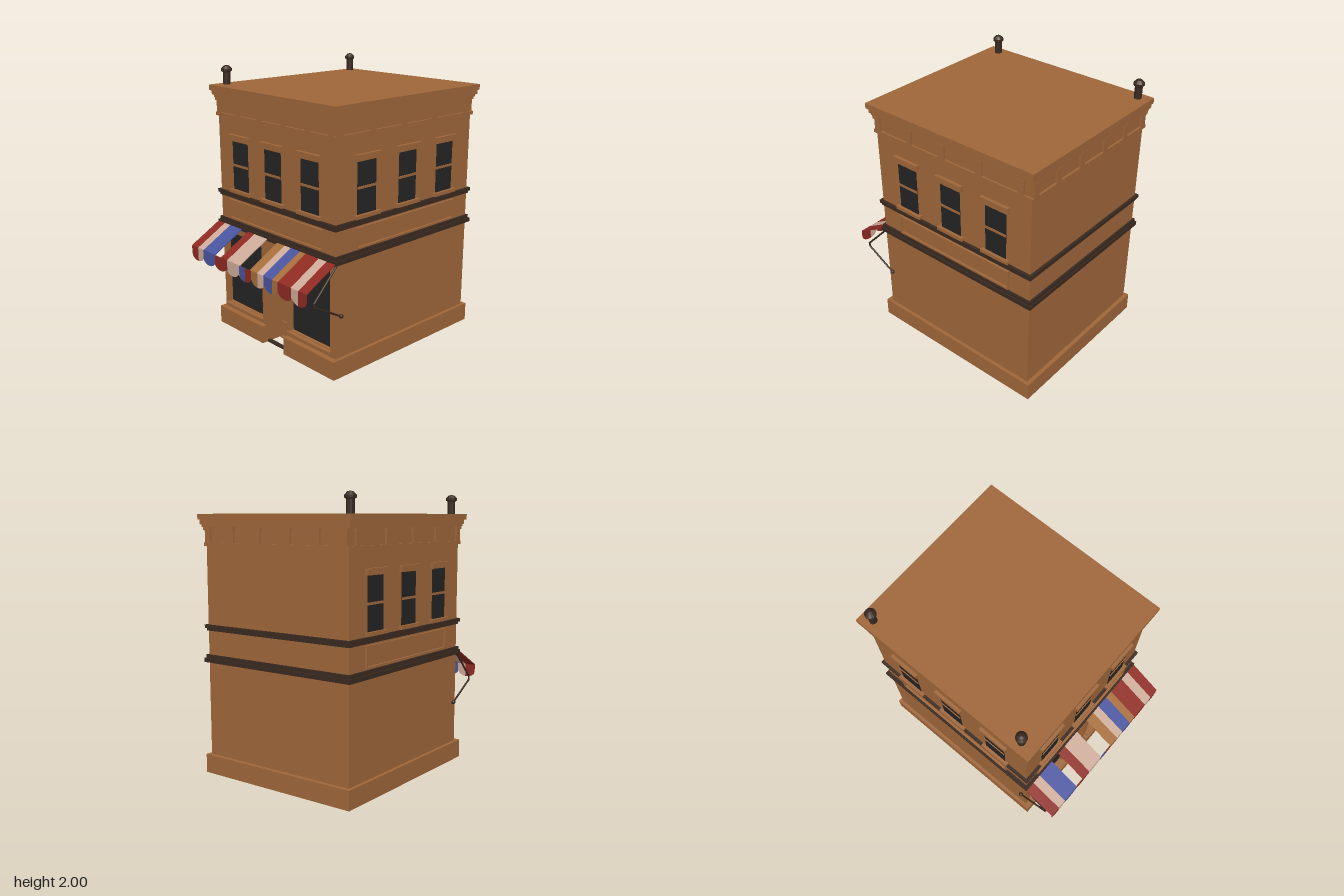
import * as THREE from 'three';

const mat = (name, color, side = THREE.FrontSide) => {
  const m = new THREE.MeshStandardMaterial({ color, side });
  m.name = name;
  return m;
};

export function createModel() {
  const brick = mat('brick brown', 0xa0673a);
  const trim = mat('dark trim', 0x3a2a20);
  const glass = mat('dark glass', 0x242424);
  const red = mat('awning red', 0x8f2a22, THREE.DoubleSide);
  const cream = mat('awning cream', 0xcdab99, THREE.DoubleSide);
  const blue = mat('awning blue', 0x4a54a0, THREE.DoubleSide);
  const ochre = mat('awning ochre', 0xa66d3a, THREE.DoubleSide);

  const model = new THREE.Group();
  model.name = 'cornerShop';

  const add = (name, geometry, material, parent = model) => {
    const mesh = new THREE.Mesh(geometry, material);
    mesh.name = name;
    parent.add(mesh);
    return mesh;
  };
  const box = (name, material, [x0, x1], [y0, y1], [z0, z1], parent = model) => {
    const mesh = add(name, new THREE.BoxGeometry(x1 - x0, y1 - y0, z1 - z0), material, parent);
    mesh.position.set((x0 + x1) / 2, (y0 + y1) / 2, (z0 + z1) / 2);
    return mesh;
  };
  const poly = pts => new THREE.Shape(pts.map(p => new THREE.Vector2(...p)));
  const rect = (x0, x1, y0, y1) => poly([[x0, y0], [x1, y0], [x1, y1], [x0, y1]]);
  const extrude = (shape, depth) => new THREE.ExtrudeGeometry(shape, { depth, bevelEnabled: false });

  // Wall block and its footprint
  const W = 0.62, BACK = -0.8, FRONT = 0.56, INNER = 0.42;
  const ring = (name, material, y0, y1, e) =>
    box(name, material, [-W - e, W + e], [y0, y1], [BACK - e, FRONT + e]);
  box('walls', brick, [-W, W], [0.01, 1.82], [BACK, INNER]);

  // Front wall with the doorway cut out and openings for the shop windows
  const front = poly([[-W, 0.01], [-0.115, 0.01], [-0.115, 0.76], [0.115, 0.76],
    [0.115, 0.01], [W, 0.01], [W, 1.82], [-W, 1.82]]);
  for (const s of [-1, 1]) front.holes.push(rect(s * 0.363 - 0.203, s * 0.363 + 0.203, 0.19, 0.76));
  add('frontWall', extrude(front, FRONT - INNER), brick).position.z = INNER;

  // Plinth around the building, notched at the doorway
  const plinth = add('plinth', extrude(poly([[-0.645, -0.6], [-0.12, -0.6], [-0.12, -INNER],
    [0.12, -INNER], [0.12, -0.6], [0.645, -0.6], [0.645, 0.83], [-0.645, 0.83]]), 0.135), brick);
  plinth.rotation.x = -Math.PI / 2;

  // Shop windows with sills
  for (const s of [-1, 1]) {
    const c = s * 0.363;
    box('shopWindow', glass, [c - 0.205, c + 0.205], [0.185, 0.765], [0.528, 0.535]);
    box('shopWindowSill', brick, [c - 0.22, c + 0.22], [0.16, 0.185], [0.53, 0.59]);
  }

  // Rectangular raised frame, centred on the local z face
  const frame = (name, material, w, y0, y1, t, depth, parent) => {
    const shape = rect(-w, w, y0, y1);
    shape.holes.push(rect(-w + t, w - t, y0 + t, y1 - t));
    return add(name, extrude(shape, depth), material, parent);
  };

  // Recessed door
  const door = new THREE.Group();
  door.name = 'door';
  door.position.z = INNER;
  model.add(door);
  frame('doorFrame', brick, 0.112, 0.0, 0.52, 0.012, 0.02, door);
  box('doorRail', brick, [-0.1, 0.1], [0.12, 0.135], [0, 0.012], door);
  box('threshold', trim, [-0.118, 0.118], [0, 0.018], [0.11, 0.135], door);

  // A wall-facing group: local +z points out of the wall
  const onWall = (name, x, z, angle) => {
    const g = new THREE.Group();
    g.name = name;
    g.position.set(x, 0, z);
    g.rotation.y = angle;
    model.add(g);
    return g;
  };
  const sashWindow = (x, z, angle) => {
    const g = onWall('sashWindow', x, z, angle);
    box('pane', glass, [-0.087, 0.087], [1.115, 1.475], [-0.002, 0.004], g);
    box('middleRail', brick, [-0.087, 0.087], [1.288, 1.305], [0, 0.009], g);
    box('lintel', brick, [-0.115, 0.115], [1.478, 1.522], [-0.01, 0.024], g);
    box('sill', brick, [-0.115, 0.115], [1.09, 1.115], [-0.01, 0.026], g);
  };
  const signBoard = (x, z, angle, w) => {
    const g = onWall('signBoard', x, z, angle);
    frame('signFrame', brick, w, 0.88, 1.03, 0.012, 0.016, g);
  };
  for (const x of [-0.37, -0.005, 0.375]) sashWindow(x, FRONT, 0);
  signBoard(0, FRONT, 0, 0.51);
  for (const s of [-1, 1]) {
    for (const z of [0.28, -0.12, -0.515]) sashWindow(s * W, z, s * Math.PI / 2);
    signBoard(s * W, -0.125, s * Math.PI / 2, 0.505);
  }

  // String courses above and below the sign boards
  ring('upperCourseLip', trim, 1.042, 1.06, 0.01);
  ring('upperCourse', trim, 1.06, 1.085, 0.02);
  ring('lowerCourse', trim, 0.815, 0.845, 0.025);
  ring('lowerCourseLip', trim, 0.845, 0.87, 0.015);

  // Cornice, brackets and roof slab
  ring('friezeBand', brick, 1.64, 1.665, 0.014);
  ring('corniceStep', brick, 1.772, 1.79, 0.022);
  ring('cornice', brick, 1.79, 1.822, 0.032);
  box('roof', brick, [-0.665, 0.665], [1.822, 1.862], [-0.84, 0.605]);
  const bracket = (x, z, angle) => {
    const g = onWall('bracket', x, z, angle);
    box('bracketBlock', brick, [-0.024, 0.024], [1.665, 1.775], [-0.01, 0.016], g);
    box('bracketHead', brick, [-0.032, 0.032], [1.752, 1.775], [-0.01, 0.024], g);
  };
  for (const x of [-0.595, -0.375, -0.135, 0.125, 0.37, 0.595]) {
    bracket(x, FRONT, 0);
    bracket(x, BACK, Math.PI);
  }
  for (const s of [-1, 1])
    for (const z of [0.535, 0.235, -0.065, -0.385, -0.72]) bracket(s * W, z, s * Math.PI / 2);

  // Chimney pipes
  const pipe = [[0, 1.86], [0.027, 1.86], [0.027, 1.95], [0.039, 1.958], [0.039, 1.975], [0.02, 1.995], [0, 2]];
  for (const z of [-0.752, 0.495]) {
    const g = new THREE.LatheGeometry(pipe.map(p => new THREE.Vector2(...p)), 12).toNonIndexed();
    g.computeVertexNormals();
    add('chimneyPipe', g, trim).position.set(-0.595, 0, z);
  }

  // Awning canopy: each stripe is [material, left edge, right edge], with two open bays
  const canopy = [[red, -0.645, -0.565], [cream, -0.565, -0.495], [blue, -0.495, -0.355],
    [red, -0.28, -0.205], [cream, -0.205, -0.06], [ochre, 0.055, 0.135], [cream, 0.135, 0.2],
    [blue, 0.2, 0.295], [ochre, 0.295, 0.355], [red, 0.355, 0.485], [cream, 0.485, 0.56], [red, 0.56, 0.64]];
  const top = [0.57, 0.835], rim = [0.83, 0.69];
  const run = rim[0] - top[0], drop = top[1] - rim[1];
  for (const [m, a, b] of canopy) {
    const stripe = add('awningStripe', new THREE.BoxGeometry(b - a, 0.006, Math.hypot(run, drop)), m);
    stripe.position.set((a + b) / 2, (top[1] + rim[1]) / 2, (top[0] + rim[0]) / 2);
    stripe.rotation.x = Math.atan2(drop, run);
  }

  // Scalloped valance hanging from the canopy rim
  const valance = [[red, -0.645, -0.565], [cream, -0.565, -0.5], [blue, -0.5, -0.355],
    [red, -0.355, -0.205], [cream, -0.205, -0.065], [blue, -0.065, 0], [red, 0, 0.07],
    [ochre, 0.07, 0.14], [cream, 0.14, 0.205], [blue, 0.205, 0.295], [ochre, 0.295, 0.355],
    [red, 0.355, 0.49], [cream, 0.49, 0.56], [red, 0.56, 0.64]];
  const pitch = 1.285 / 9;
  const hem = x => {
    const u = 2 * ((((x + 0.645) / pitch) % 1 + 1) % 1) - 1;
    return 0.635 - 0.047 * Math.sqrt(Math.max(0, 1 - u * u));
  };
  for (const [m, a, b] of valance) {
    const pts = [[b, rim[1]], [a, rim[1]]];
    for (let i = 0; i <= 14; i++) {
      const x = a + (b - a) * i / 14;
      pts.push([x, hem(x)]);
    }
    add('valanceStripe', extrude(poly(pts), 0.005), m).position.z = rim[0] - 0.003;
  }

  // Folding awning arms with a ball pivot on each side
  const rod = (x, [z0, y0], [z1, y1]) => {
    const len = Math.hypot(z1 - z0, y1 - y0);
    const r = add('awningArm', new THREE.CylinderGeometry(0.007, 0.007, len, 8), trim);
    r.position.set(x, (y0 + y1) / 2, (z0 + z1) / 2);
    r.rotation.x = Math.atan2(z1 - z0, y1 - y0);
  };
  for (const s of [-1, 1]) {
    const x = s * 0.632;
    rod(x, [0.555, 0.82], [0.762, 0.605]);
    rod(x, [0.762, 0.61], [0.757, 0.575]);
    rod(x, [0.757, 0.578], [0.52, 0.445]);
    add('armPivot', new THREE.SphereGeometry(0.016, 12, 8), trim).position.set(x, 0.445, 0.52);
  }
  return model;
}
